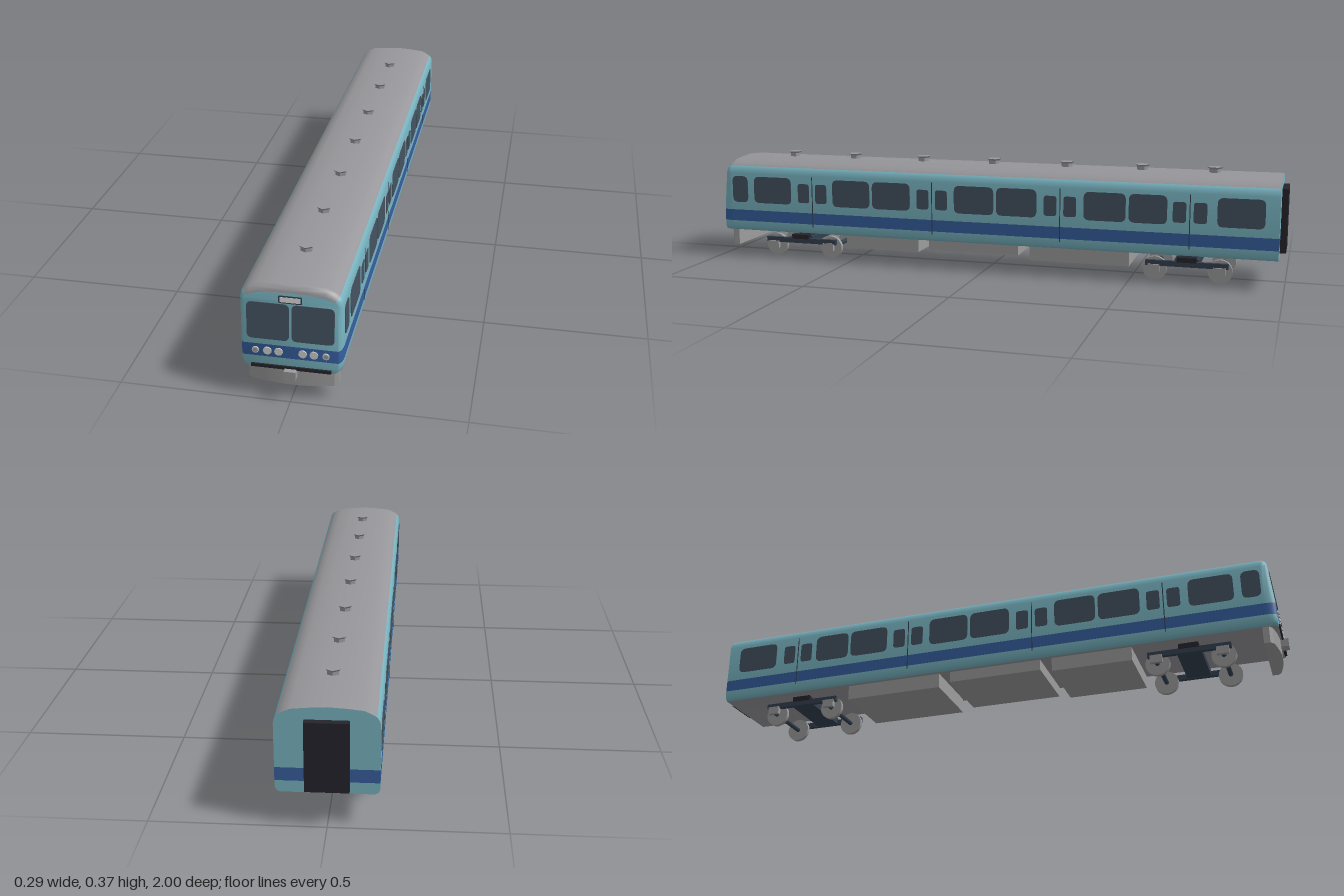
import * as THREE from 'three';
import { toCreasedNormals } from 'three/addons/utils/BufferGeometryUtils.js';

const mat = (name, color) => Object.assign(new THREE.MeshStandardMaterial({ color }), { name });

export function createModel() {
  const teal = mat('teal paint', 0x78b4c1), blue = mat('blue stripe', 0x365f9f);
  const grey = mat('roof grey', 0x97979b), steel = mat('underframe grey', 0x9c9c9c);
  const glass = mat('window glass', 0x445361), black = mat('black rubber', 0x25242c);
  const navy = mat('bogie frame', 0x34404f), lamp = mat('lamp white', 0xd6d8d6);
  const train = new THREE.Group();
  train.name = 'railcar';

  const add = (name, geo, material, x = 0, y = 0, z = 0, parent = train) => {
    const m = new THREE.Mesh(geo, material);
    m.name = name;
    m.position.set(x, y, z);
    parent.add(m);
    return m;
  };
  const box = (name, material, w, h, d, x, y, z, parent) =>
    add(name, new THREE.BoxGeometry(w, h, d), material, x, y, z, parent);
  // Thin plate with rounded corners, facing +z
  const plate = (w, h, r) => {
    const s = new THREE.Shape(), a = w / 2, b = h / 2;
    s.moveTo(-a + r, -b);
    s.lineTo(a - r, -b).quadraticCurveTo(a, -b, a, -b + r);
    s.lineTo(a, b - r).quadraticCurveTo(a, b, a - r, b);
    s.lineTo(-a + r, b).quadraticCurveTo(-a, b, -a, b - r);
    s.lineTo(-a, -b + r).quadraticCurveTo(-a, -b, -a + r, -b);
    return new THREE.ExtrudeGeometry(s, { depth: 0.002, bevelEnabled: false, curveSegments: 5 });
  };

  // Body shell: half section swept along z, rounded at the leaning cab end
  const half = [[0.132, 0.097], [0.141, 0.103], [0.145, 0.115], [0.145, 0.132], [0.145, 0.172], [0.145, 0.305],
    [0.142, 0.32], [0.135, 0.331], [0.12, 0.34], [0.1, 0.349], [0.05, 0.354], [0, 0.357]];
  const lean = y => Math.max(0, y - 0.18) * 0.1;
  const stations = [null, 0, 1, 2, 3, 4, 5];
  const point = (s, i, side) => {
    const [x, y] = half[i];
    if (stations[s] === null) return [side * x, y, -0.98];
    const a = stations[s] / 5 * Math.PI / 2, inset = 1 - Math.cos(a);
    const py = y - Math.max(0, y - 0.3) * 0.4 * inset;
    return [side * x * (1 - 0.085 * inset), py, 0.945 + 0.035 * Math.sin(a) - lean(py) * Math.sin(a)];
  };
  const faces = [[], [], []];
  const quad = (k, a, b, c, d) => faces[k].push(...a, ...b, ...c, ...a, ...c, ...d);
  const last = stations.length - 1;
  for (let i = 0; i < half.length - 1; i++) {
    const band = i === 3 ? 1 : i >= 7 ? 2 : 0;
    for (let s = 0; s < last; s++) {
      quad(band, point(s, i, 1), point(s, i + 1, 1), point(s + 1, i + 1, 1), point(s + 1, i, 1));
      quad(band, point(s, i, -1), point(s + 1, i, -1), point(s + 1, i + 1, -1), point(s, i + 1, -1));
    }
    const cap = band === 1 ? 1 : 0;
    quad(cap, point(last, i, -1), point(last, i, 1), point(last, i + 1, 1), point(last, i + 1, -1));
    quad(cap, point(0, i, 1), point(0, i, -1), point(0, i + 1, -1), point(0, i + 1, 1));
  }
  for (let s = 0; s < last; s++)
    quad(2, point(s, 0, -1), point(s, 0, 1), point(s + 1, 0, 1), point(s + 1, 0, -1));
  const shell = new THREE.BufferGeometry();
  shell.setAttribute('position', new THREE.Float32BufferAttribute(faces.flat(), 3));
  let start = 0;
  faces.forEach((f, k) => {
    shell.addGroup(start, f.length / 3, k);
    start += f.length / 3;
  });
  add('bodyShell', toCreasedNormals(shell, 0.7), [teal, blue, grey]);

  // Side windows and door joints: [z from, z to]
  const large = [[0.94, 0.88], [0.855, 0.71], [0.55, 0.41], [0.4, 0.26], [0.1, -0.04], [-0.05, -0.19],
    [-0.35, -0.49], [-0.5, -0.625], [-0.785, -0.935]];
  const doors = [0.628, 0.18, -0.27, -0.698];
  for (const side of [1, -1]) {
    const pane = (name, z0, z1, y0, y1, r) => {
      const m = add(name, plate(z0 - z1, y1 - y0, r), glass, side * 0.1445, (y0 + y1) / 2, (z0 + z1) / 2);
      m.rotation.y = side * Math.PI / 2;
    };
    for (const [z0, z1] of large) pane('sideWindow', z0, z1, 0.2, 0.295, 0.02);
    for (const z of doors) {
      pane('doorWindow', z + 0.055, z + 0.012, 0.208, 0.276, 0.01);
      pane('doorWindow', z - 0.012, z - 0.055, 0.208, 0.276, 0.01);
      box('doorJoint', navy, 0.002, 0.18, 0.003, side * 0.1448, 0.212, z);
    }
  }

  // Cab front: leaning windscreen and sign, then lamps
  const face = new THREE.Group();
  face.name = 'cabFront';
  face.position.set(0, 0.18, 0.98);
  face.rotation.x = -Math.atan(0.1);
  train.add(face);
  for (const side of [1, -1]) {
    add('windscreen', plate(0.12, 0.111, 0.016), glass, side * 0.0635, 0.065, 0, face);
    for (const x of [0.034, 0.066])
      add('headlamp', new THREE.CylinderGeometry(0.012, 0.012, 0.006, 20), lamp, side * x, 0.152, 0.98)
        .rotation.x = Math.PI / 2;
    add('markerRim', new THREE.CylinderGeometry(0.01, 0.01, 0.006, 20), lamp, side * 0.1, 0.152, 0.98)
      .rotation.x = Math.PI / 2;
    add('markerLamp', new THREE.CylinderGeometry(0.007, 0.007, 0.008, 16), steel, side * 0.1, 0.152, 0.98)
      .rotation.x = Math.PI / 2;
  }
  add('signFrame', plate(0.066, 0.022, 0.003), navy, 0, 0.135, 0, face);
  add('signPanel', plate(0.058, 0.015, 0.002), lamp, 0, 0.135, 0.001, face);

  // Curved skirt, buffer beam and coupler under the cab
  const arc = new THREE.Shape();
  arc.moveTo(-0.13, -0.93);
  arc.lineTo(0.13, -0.93).lineTo(0.13, -0.95).lineTo(0.118, -0.96);
  arc.quadraticCurveTo(0, -0.99, -0.118, -0.96).lineTo(-0.13, -0.95);
  const skirt = new THREE.ExtrudeGeometry(arc, { depth: 0.057, bevelEnabled: false, curveSegments: 12 });
  skirt.rotateX(-Math.PI / 2);
  add('frontSkirt', toCreasedNormals(skirt, 0.4), steel, 0, 0.041, 0);
  box('bufferBeam', black, 0.228, 0.01, 0.03, 0, 0.102, 0.97);
  box('coupler', steel, 0.034, 0.027, 0.05, 0, 0.087, 0.975);

  // Rear gangway
  box('gangway', black, 0.124, 0.21, 0.02, 0, 0.214, -0.99);

  // Roof vents
  for (const z of [0.76, 0.52, 0.26, 0, -0.26, -0.52, -0.76]) {
    const vent = new THREE.Group();
    vent.name = 'roofVent';
    vent.position.set(0, 0, z);
    train.add(vent);
    const stem = add('ventStem', new THREE.CylinderGeometry(0.019, 0.019, 0.02, 6), grey, 0, 0.358, 0, vent);
    stem.geometry = toCreasedNormals(stem.geometry, 0.3);
    const cap = add('ventCap', new THREE.CylinderGeometry(0.025, 0.02, 0.006, 6), grey, 0, 0.371, 0, vent);
    cap.geometry = toCreasedNormals(cap.geometry, 0.3);
  }

  // Underfloor equipment: [z from, z to, bottom]
  for (const [z0, z1, y] of [[0.51, 0.24, 0.05], [0.2, -0.12, 0.06], [-0.16, -0.5, 0.047]])
    box('equipmentBox', steel, 0.24, 0.099 - y, z0 - z1, 0, (0.099 + y) / 2, (z0 + z1) / 2);

  // Bogies
  for (const z of [0.693, -0.688]) {
    const bogie = new THREE.Group();
    bogie.name = 'bogie';
    bogie.position.z = z;
    train.add(bogie);
    box('transom', navy, 0.2, 0.022, 0.08, 0, 0.067, 0, bogie);
    box('bolster', navy, 0.12, 0.04, 0.06, 0, 0.08, 0, bogie);
    for (const side of [1, -1]) {
      box('sideFrame', navy, 0.014, 0.018, 0.27, side * 0.105, 0.063, 0, bogie);
      box('spring', black, 0.022, 0.016, 0.065, side * 0.105, 0.078, 0, bogie);
      for (const dz of [0.107, -0.107]) {
        add('wheel', new THREE.CylinderGeometry(0.04, 0.04, 0.014, 24), steel, side * 0.08, 0.04, dz, bogie)
          .rotation.z = Math.PI / 2;
        box('axleBox', steel, 0.014, 0.026, 0.04, side * 0.11, 0.046, dz, bogie);
      }
    }
    for (const dz of [0.107, -0.107])
      add('axle', new THREE.CylinderGeometry(0.008, 0.008, 0.21, 10), navy, 0, 0.04, dz, bogie)
        .rotation.z = Math.PI / 2;
  }
  return train;
}
